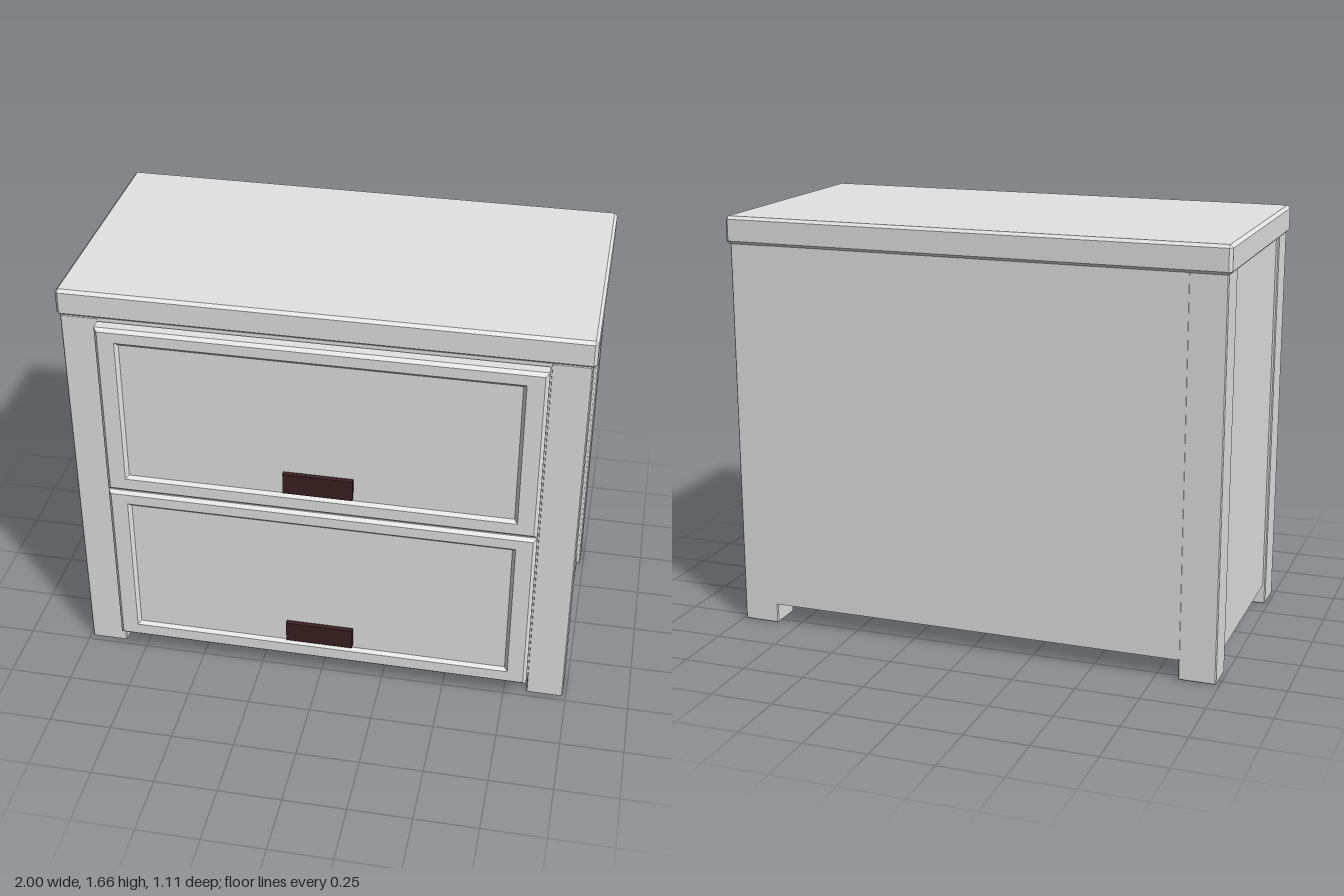
import * as THREE from 'three';
import { ConvexGeometry } from 'three/addons/geometries/ConvexGeometry.js';

const paint = new THREE.MeshStandardMaterial({ color: 0xe2e2e2 });
paint.name = 'light grey paint';
const darkMetal = new THREE.MeshStandardMaterial({ color: 0x3a2020 });
darkMetal.name = 'dark brown metal';

// Box given by its limits, with all edges chamfered by c
function block(name, [x0, x1], [y0, y1], [z0, z1], c = 0, material = paint) {
  const size = [x1 - x0, y1 - y0, z1 - z0];
  let geometry;
  if (c > 0) {
    const points = [];
    for (const sx of [-1, 1]) for (const sy of [-1, 1]) for (const sz of [-1, 1]) {
      for (let axis = 0; axis < 3; axis++) {
        const p = [sx, sy, sz].map((s, i) => s * (size[i] / 2 - (i === axis ? 0 : c)));
        points.push(new THREE.Vector3(...p));
      }
    }
    geometry = new ConvexGeometry(points);
  } else {
    geometry = new THREE.BoxGeometry(...size);
  }
  const mesh = new THREE.Mesh(geometry, material);
  mesh.name = name;
  mesh.position.set((x0 + x1) / 2, (y0 + y1) / 2, (z0 + z1) / 2);
  return mesh;
}

function rectangle(target, w, y0, y1) {
  target.moveTo(-w, y0);
  target.lineTo(w, y0);
  target.lineTo(w, y1);
  target.lineTo(-w, y1);
  target.closePath();
  return target;
}

// Drawer front: bevelled frame, recessed panel and flat pull
function drawer(name, y0) {
  const group = new THREE.Group();
  group.name = name;
  const height = 0.728, zBack = 0.478, zFront = 0.545, b = 0.013;
  const shape = rectangle(new THREE.Shape(), 0.84, 0, height);
  shape.holes.push(rectangle(new THREE.Path(), 0.75, 0.073, 0.66));
  const frame = new THREE.Mesh(new THREE.ExtrudeGeometry(shape, {
    depth: zFront - zBack - 2 * b,
    bevelEnabled: true, bevelSegments: 1, bevelSize: b, bevelThickness: b, bevelOffset: -b,
  }), paint);
  frame.name = 'drawerFrame';
  frame.position.z = zBack + b;
  group.add(
    frame,
    block('drawerPanel', [-0.755, 0.755], [0.068, 0.665], [zBack, zFront - b]),
    block('drawerPull', [-0.135, 0.135], [0.085, 0.172], [zFront - b, 0.552], 0, darkMetal),
  );
  group.position.y = y0;
  return group;
}

export function createModel() {
  const model = new THREE.Group();
  model.name = 'twoDrawerCabinet';

  model.add(block('top', [-1, 1], [1.556, 1.665], [-0.555, 0.485], 0.012));

  // Legs and side panels, mirrored
  for (const s of [-1, 1]) {
    const span = (a, b) => (s > 0 ? [a, b] : [-b, -a]);
    const side = s > 0 ? 'left' : 'right';
    model.add(
      block(side + 'FrontLeg', span(0.84, 0.987), [0, 1.56], [0.34, 0.479], 0.004),
      block(side + 'BackLeg', span(0.84, 0.987), [0, 1.56], [-0.54, -0.405], 0.004),
      block(side + 'SidePanel', span(0.91, 0.975), [0.082, 1.56], [-0.41, 0.345]),
    );
  }

  // Back panel, slightly proud of the legs, and the inner case behind the drawer fronts
  model.add(
    block('backPanel', [-0.845, 0.845], [0.082, 1.56], [-0.544, -0.47]),
    block('innerCase', [-0.86, 0.86], [0.084, 1.56], [-0.24, 0.478]),
  );

  model.add(drawer('lowerDrawer', 0.093), drawer('upperDrawer', 0.825));
  return model;
}
